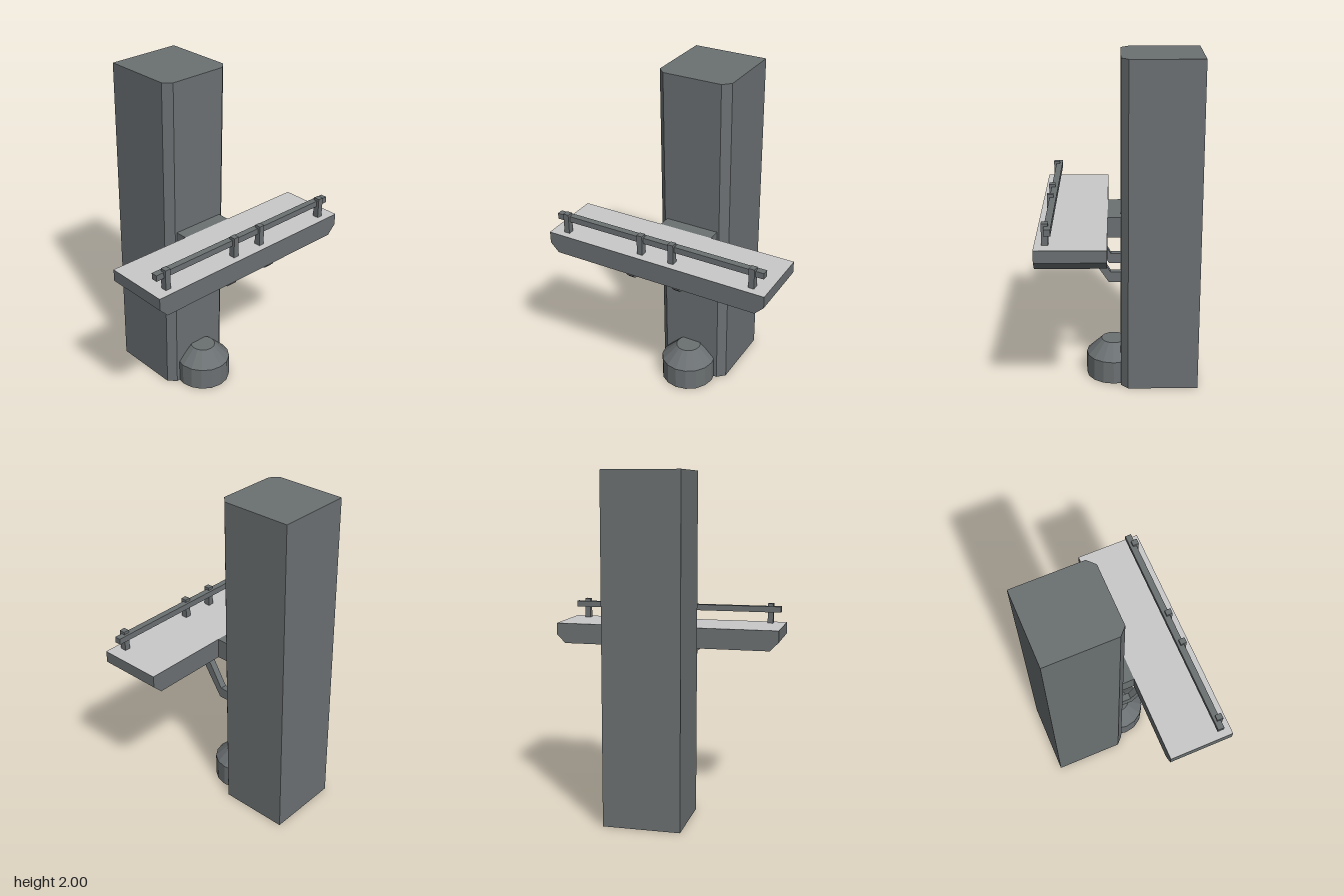
import * as THREE from 'three';

const steel = new THREE.MeshStandardMaterial({ color: 0x6b7072, side: THREE.DoubleSide });
steel.name = 'dark grey';
const deck = new THREE.MeshStandardMaterial({ color: 0xc9c9c9 });
deck.name = 'light grey';
const soffit = new THREE.MeshStandardMaterial({ color: 0x9a9a9a });
soffit.name = 'mid grey';
const gold = new THREE.MeshStandardMaterial({ color: 0xb08a20 });
gold.name = 'dull yellow';

export function createModel() {
  const model = new THREE.Group();
  model.name = 'towerWithBalcony';

  const add = (name, geometry, material = steel) => {
    const mesh = new THREE.Mesh(geometry, material);
    mesh.name = name;
    model.add(mesh);
    return mesh;
  };
  // Box given by its minimum and maximum corners
  const box = (name, x0, x1, y0, y1, z0, z1) => {
    const mesh = add(name, new THREE.BoxGeometry(x1 - x0, y1 - y0, z1 - z0));
    mesh.position.set((x0 + x1) / 2, (y0 + y1) / 2, (z0 + z1) / 2);
  };
  const extrude = (points, depth) => new THREE.ExtrudeGeometry(
    new THREE.Shape(points.map(([x, y]) => new THREE.Vector2(x, y))),
    { depth, bevelEnabled: false });

  // Tower with chamfered front corners, plan drawn as (x, -z)
  const tower = extrude([
    [-0.18, 0], [0.18, 0], [0.225, 0.043], [0.225, 0.465], [-0.225, 0.465], [-0.225, 0.043],
  ], 2);
  tower.rotateX(-Math.PI / 2);
  add('tower', tower);

  // Platform with bevelled lower ends
  const platform = extrude([
    [-0.635, 0.957], [0.635, 0.957], [0.687, 1.01], [0.687, 1.08], [-0.687, 1.08], [-0.687, 1.01],
  ], 0.389);
  platform.translate(0, 0, 0.076);
  add('platform', platform);
  const top = add('deckSurface', new THREE.PlaneGeometry(1.374, 0.389).rotateX(-Math.PI / 2), deck);
  top.position.set(0, 1.081, 0.2705);
  const under = add('deckSoffit', new THREE.PlaneGeometry(1.27, 0.389).rotateX(Math.PI / 2), soffit);
  under.position.set(0, 0.956, 0.2705);
  box('platformConnector', -0.167, 0.167, 0.957, 1.08, -0.02, 0.076);

  // Railing
  box('handrail', -0.66, 0.657, 1.15, 1.186, 0.372, 0.41);
  for (const x of [-0.594, -0.1, 0.098, 0.591]) {
    box('railPost', x - 0.017, x + 0.017, 1.08, 1.202, 0.388, 0.425);
  }

  // Cranked braces under the platform, profile drawn as (-z, y)
  const brace = extrude([
    [0.01, 0.74], [-0.06, 0.74], [-0.192, 0.96], [-0.458, 0.96], [-0.458, 0.945],
    [-0.43, 0.918], [-0.23, 0.918], [-0.07, 0.676], [0.01, 0.676],
  ], 0.04);
  brace.rotateY(Math.PI / 2);
  for (const x of [-0.17, 0.126]) {
    add('brace', brace).position.x = x;
    // Yellow edging on the sloping front face
    const edging = add('braceEdging', new THREE.PlaneGeometry(0.02, 0.285), gold);
    edging.position.set(x + 0.01, 0.796, 0.152);
    edging.rotation.x = Math.atan2(0.16, 0.242);
  }

  // Faceted pier at the foot of the tower, open underneath
  const pier = new THREE.LatheGeometry(
    [[0.167, 0], [0.167, 0.142], [0.075, 0.232], [0, 0.232]].map(([r, y]) => new THREE.Vector2(r, y)),
    16).toNonIndexed();
  pier.computeVertexNormals();
  add('footPier', pier).position.z = 0.043;

  return model;
}
